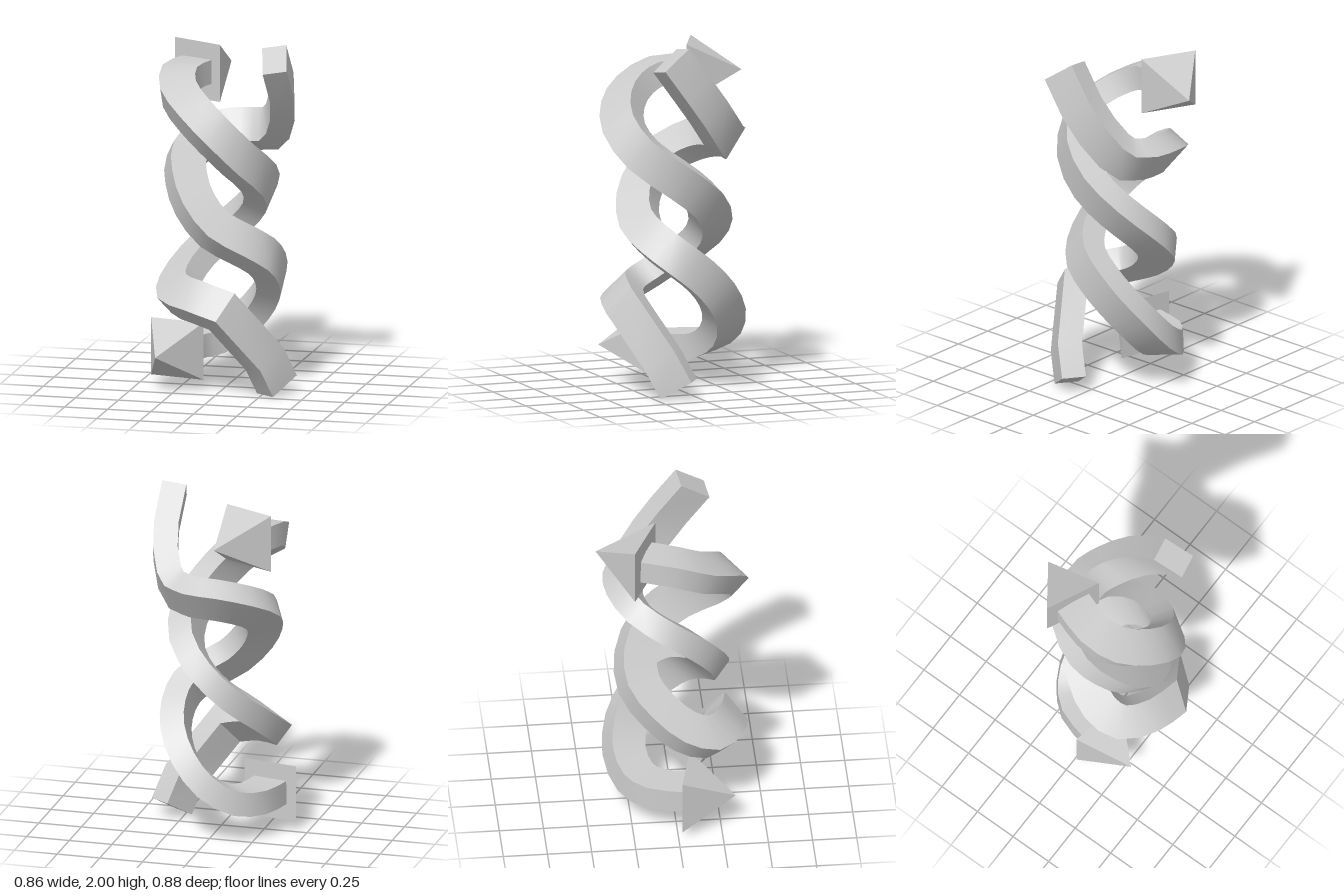
import * as THREE from 'three';
import { toCreasedNormals } from 'three/addons/utils/BufferGeometryUtils.js';

const V = (p) => new THREE.Vector3(...p);

// Sweeps a rectangle along a polyline with mitred joints; the long side turns from startAxis to endAxis.
function sweepBar(path, startAxis, endAxis, long, short) {
  const n = path.length - 1;
  const dirs = [];
  for (let i = 0; i < n; i++) dirs.push(path[i + 1].clone().sub(path[i]).normalize());

  // carry the long axis along without twist
  const square = (a, t) => a.clone().addScaledVector(t, -a.dot(t)).normalize();
  const axes = [square(startAxis, dirs[0])];
  for (let i = 1; i < n; i++) {
    const q = new THREE.Quaternion().setFromUnitVectors(dirs[i - 1], dirs[i]);
    axes.push(square(axes[i - 1].clone().applyQuaternion(q), dirs[i]));
  }
  // spread the remaining roll evenly (half-turn symmetric section)
  const t = dirs[n - 1], u = axes[n - 1], end = square(endAxis, t);
  let roll = Math.atan2(end.dot(t.clone().cross(u)), end.dot(u));
  roll -= Math.PI * Math.round(roll / Math.PI);

  const pos = [], index = [];
  for (let i = 0; i <= n; i++) {
    const k = Math.min(i, n - 1), d = dirs[k];
    const plane = i > 0 && i < n ? dirs[i - 1].clone().add(d).normalize() : d;
    const a = axes[k].clone().applyAxisAngle(d, roll * k / (n - 1));
    const b = d.clone().cross(a);
    for (const [sa, sb] of [[1, 1], [-1, 1], [-1, -1], [1, -1]]) {
      const off = a.clone().multiplyScalar(sa * long / 2).addScaledVector(b, sb * short / 2);
      off.addScaledVector(d, -off.dot(plane) / d.dot(plane));
      pos.push(...off.add(path[i]).toArray());
    }
    if (i < n) for (let j = 0; j < 4; j++) {
      const p = i * 4 + j, q = i * 4 + (j + 1) % 4;
      index.push(p, q, q + 4, p, q + 4, p + 4);
    }
  }
  const e = n * 4;
  index.push(0, 2, 1, 0, 3, 2, e, e + 1, e + 2, e, e + 2, e + 3);
  const geo = new THREE.BufferGeometry();
  geo.setAttribute('position', new THREE.Float32BufferAttribute(pos, 3));
  geo.setIndex(index);
  return toCreasedNormals(geo, 0.6);
}

// One spiral arrow: coil from the head base, then a straighter tail after a sharp bend.
function spiralArrow(name, { coil, tail, tip, headAxis, tailAxis }, material) {
  const group = new THREE.Group();
  group.name = name;
  const curve = new THREE.CatmullRomCurve3(coil.map(V), false, 'centripetal');
  const path = [...curve.getPoints((coil.length - 1) * 2), ...tail.map(V)];
  const shaft = new THREE.Mesh(sweepBar(path, V(headAxis), V(tailAxis), 0.205, 0.138), material);
  shaft.name = 'spiralShaft';

  // square pyramid head
  const base = V(coil[0]), dir = V(tip).sub(base);
  const h = dir.length();
  const cone = new THREE.ConeGeometry(0.165 * Math.SQRT2, h, 4);
  cone.rotateY(Math.PI / 4).rotateX(Math.PI / 2).translate(0, 0, h / 2);
  const head = new THREE.Mesh(toCreasedNormals(cone, 0.3), material);
  head.name = 'arrowHead';
  head.position.copy(base);
  head.rotation.y = Math.atan2(dir.x, dir.z);
  group.add(shaft, head);
  return group;
}

export function createModel() {
  const material = new THREE.MeshStandardMaterial({ color: 0xcccccc });
  const model = new THREE.Group();
  model.name = 'intertwinedArrows';

  model.add(spiralArrow('upperArrow', {
    coil: [
      [-0.21, 1.785, -0.17], [-0.262, 1.775, 0], [-0.235, 1.71, 0.145], [-0.12, 1.62, 0.265],
      [0.01, 1.51, 0.31], [0.13, 1.37, 0.24], [0.205, 1.23, 0.06], [0.17, 1.1, -0.11],
      [0.05, 0.965, -0.2], [-0.08, 0.845, -0.195], [-0.19, 0.73, -0.09], [-0.25, 0.625, 0.05],
      [-0.23, 0.565, 0.18], [-0.1, 0.545, 0.28], [0.055, 0.505, 0.315],
    ],
    tail: [[0.268, 0.215, 0.175], [0.32, 0.055, 0.1]],
    tip: [-0.08, 1.785, -0.44],
    headAxis: [0.3, 0, 0.14],
    tailAxis: [-0.14, -0.06, 0.2],
  }, material));

  model.add(spiralArrow('lowerArrow', {
    coil: [
      [-0.27, 0.22, 0.055], [-0.22, 0.22, -0.12], [-0.12, 0.235, -0.22], [0.02, 0.32, -0.27],
      [0.14, 0.45, -0.245], [0.22, 0.58, -0.16], [0.245, 0.69, -0.05], [0.22, 0.785, 0.07],
      [0.12, 0.865, 0.155], [-0.02, 0.95, 0.198], [-0.14, 1.08, 0.165], [-0.215, 1.21, 0.07],
      [-0.24, 1.31, -0.05], [-0.17, 1.39, -0.195], [-0.04, 1.43, -0.265], [0.1, 1.44, -0.27],
      [0.2, 1.455, -0.225],
    ],
    tail: [[0.255, 1.51, -0.175], [0.303, 1.62, -0.09], [0.325, 1.75, 0.01], [0.317, 1.935, 0.145]],
    tip: [-0.33, 0.22, 0.33],
    headAxis: [0.32, 0, 0.09],
    tailAxis: [0.04, -0.09, 0.165],
  }, material));

  return model;
}
